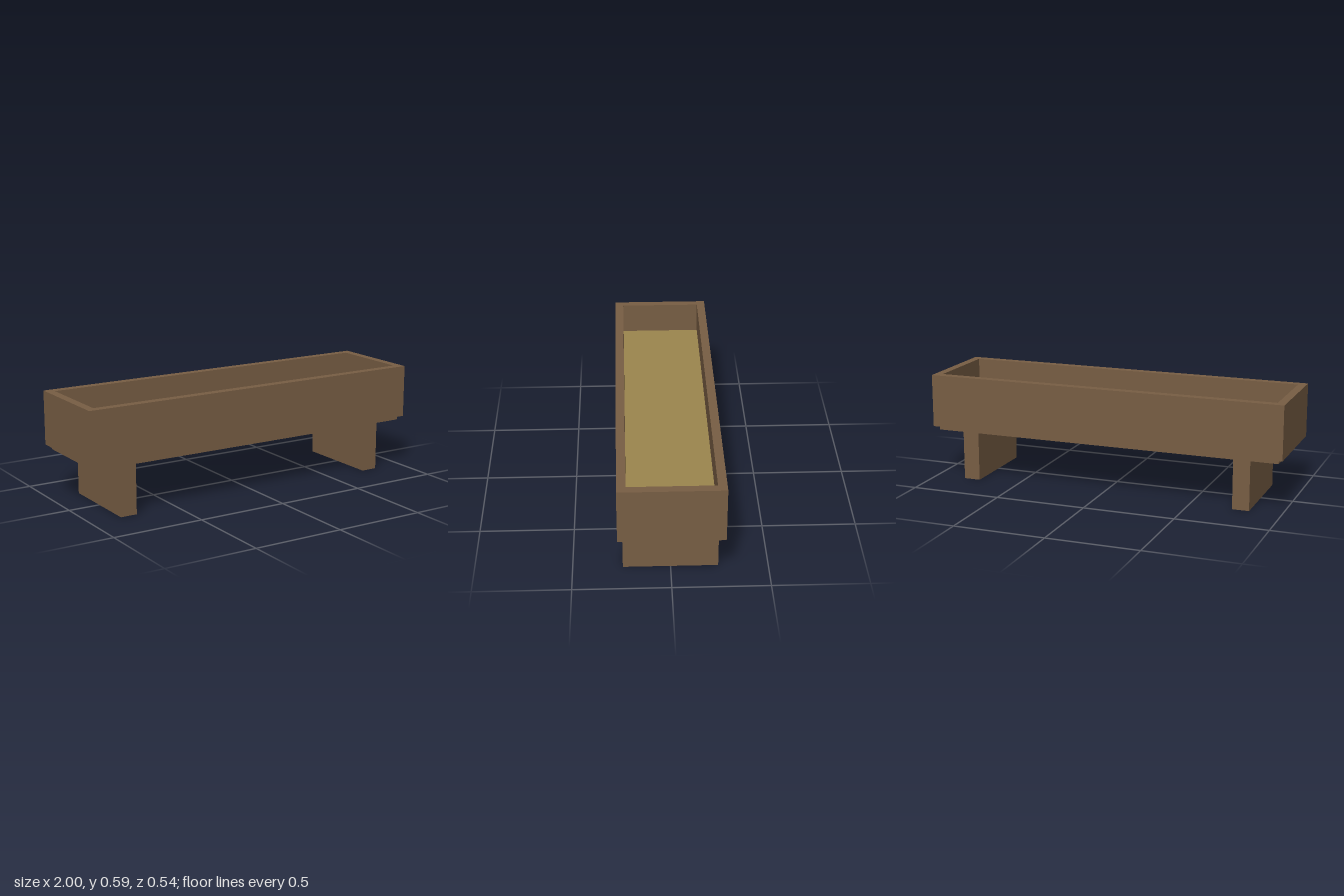
import * as THREE from 'three';

export function createModel() {
  const group = new THREE.Group();
  const wood = new THREE.MeshStandardMaterial({ color: 0x785e44 });
  wood.name = 'brown wood';
  const straw = new THREE.MeshStandardMaterial({ color: 0x9c864e });
  straw.name = 'straw feed';

  // Box placed by its centre in x and its bottom and top in y
  const box = (name, material, width, depth, bottom, top, x = 0) => {
    const mesh = new THREE.Mesh(new THREE.BoxGeometry(width, top - bottom, depth), material);
    mesh.name = name;
    mesh.position.set(x, (bottom + top) / 2, 0);
    group.add(mesh);
  };

  const rectangle = (Type, w, d) => new Type([
    new THREE.Vector2(-w, -d), new THREE.Vector2(w, -d),
    new THREE.Vector2(w, d), new THREE.Vector2(-w, d),
  ]);

  // Trough walls: an open rectangular frame
  const outline = rectangle(THREE.Shape, 1, 0.268);
  outline.holes.push(rectangle(THREE.Path, 0.955, 0.222));
  const frame = new THREE.ExtrudeGeometry(outline, { depth: 0.293, bevelEnabled: false });
  frame.rotateX(-Math.PI / 2);
  const walls = new THREE.Mesh(frame, wood);
  walls.name = 'troughWalls';
  walls.position.y = 0.293;
  group.add(walls);

  // Floor board, showing slightly below the walls
  box('floor', wood, 1.95, 0.488, 0.27, 0.317);

  // Feed, with a small gap at each end
  box('feed', straw, 1.85, 0.444, 0.31, 0.43);

  // Slab legs
  for (const side of [-1, 1]) {
    box(side > 0 ? 'leftLeg' : 'rightLeg', wood, 0.092, 0.488, 0, 0.27, side * 0.78);
  }
  return group;
}
